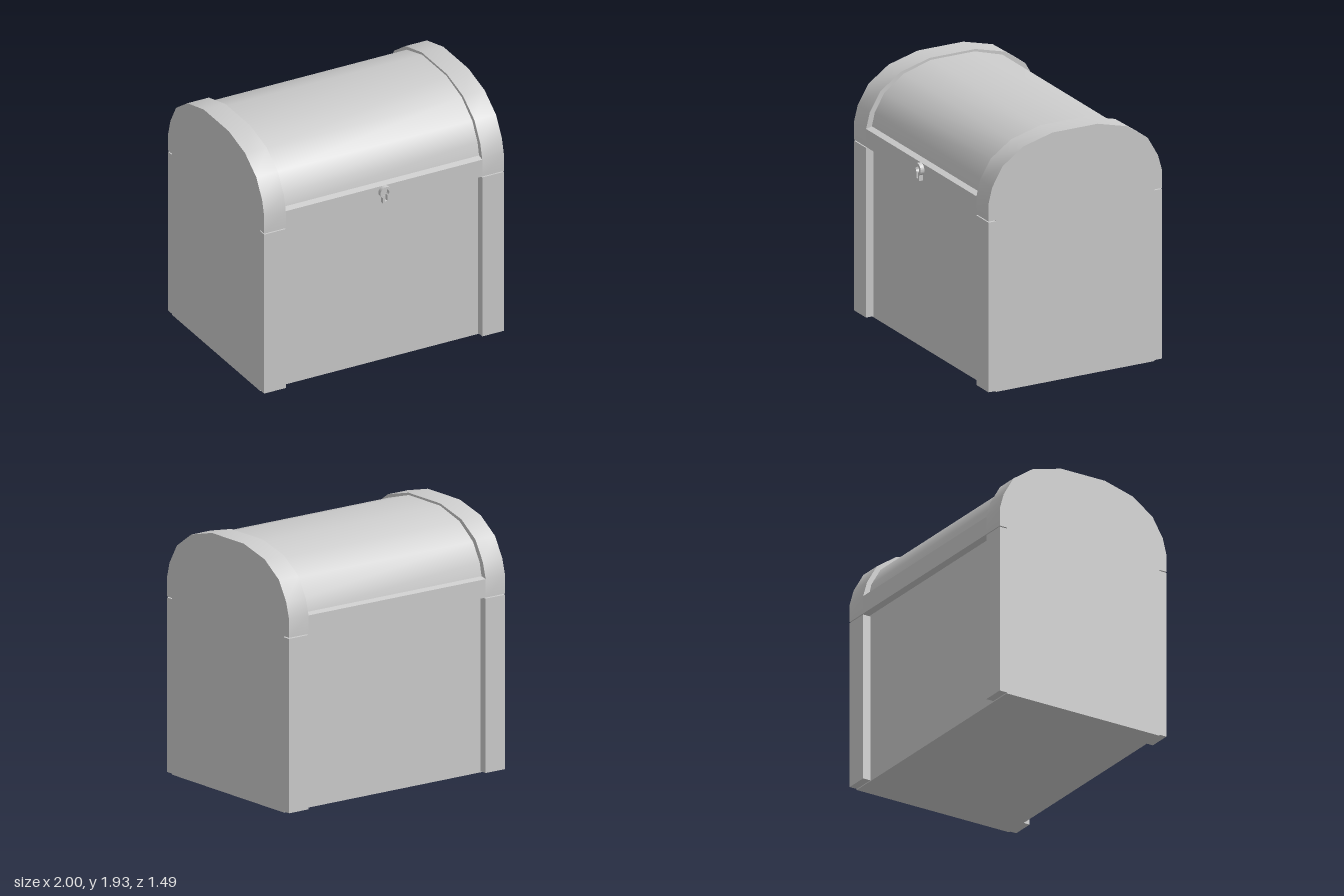
import * as THREE from 'three';
import { toCreasedNormals } from 'three/addons/utils/BufferGeometryUtils.js';

const material = new THREE.MeshStandardMaterial({ color: 0xcccccc });
const FRONT = 0.717, BACK = -0.74; // outer faces
const INSET = 0.062; // depth of the recessed panels
const LID_Y = 1.338;
const END_X = 0.82; // inner face of the end bands

function add(group, name, geometry) {
  const mesh = new THREE.Mesh(geometry, material);
  mesh.name = name;
  group.add(mesh);
  return mesh;
}

function box(group, name, x0, x1, y0, y1, z0, z1) {
  const geometry = new THREE.BoxGeometry(x1 - x0, y1 - y0, z1 - z0);
  add(group, name, geometry).position.set((x0 + x1) / 2, (y0 + y1) / 2, (z0 + z1) / 2);
}

// Extrude a [z, y] profile along x, smooth around the arch and sharp at its rims
function arch(group, name, profile, x0, x1) {
  const shape = new THREE.Shape(profile.map(([z, y]) => new THREE.Vector2(-z, y)));
  const geometry = new THREE.ExtrudeGeometry(shape, { depth: x1 - x0, bevelEnabled: false });
  geometry.rotateY(Math.PI / 2).translate(x0, 0, 0);
  add(group, name, toCreasedNormals(geometry, 0.7));
}

// Keyhole outline: a round head with a straight stem
function keyhole(path, radius, halfWidth, bottom) {
  const a = Math.asin(halfWidth / radius);
  path.moveTo(-halfWidth, bottom);
  path.lineTo(halfWidth, bottom);
  path.absarc(0, 0, radius, -Math.PI / 2 + a, Math.PI * 1.5 - a, false);
  path.closePath();
  return path;
}

export function createModel() {
  const chest = new THREE.Group();
  chest.name = 'chest';

  // Body core with recessed front and back panels
  box(chest, 'body', -1, 1, 0, LID_Y + 0.01, BACK + INSET, FRONT - INSET);

  // Corner posts, slightly clear of the floor and the lid
  for (const side of [-1, 1]) {
    const x0 = side < 0 ? -1 : END_X, x1 = side < 0 ? -END_X : 1;
    box(chest, 'frontPost', x0, x1, 0.008, LID_Y - 0.008, FRONT - INSET - 0.01, FRONT);
    box(chest, 'backPost', x0, x1, 0.008, LID_Y - 0.008, BACK, BACK + INSET + 0.01);
  }

  // Raised end bands of the lid
  const lid = new THREE.Group();
  lid.name = 'lid';
  chest.add(lid);
  const outer = [
    [FRONT, LID_Y], [FRONT, 1.478], [0.686, 1.6], [0.597, 1.75], [0.426, 1.87], [0.18, 1.935],
    [-0.2, 1.935], [-0.449, 1.87], [-0.62, 1.75], [-0.706, 1.6], [BACK, 1.478], [BACK, LID_Y],
  ];
  arch(lid, 'rightEndBand', outer, -1, -END_X);
  arch(lid, 'leftEndBand', outer, END_X, 1);

  // Sunken barrel with front and back rails
  const inner = [
    [FRONT, LID_Y], [FRONT, 1.478], [0.668, 1.49], [0.645, 1.59], [0.565, 1.73], [0.405, 1.85], [0.175, 1.918],
    [-0.195, 1.918], [-0.428, 1.85], [-0.588, 1.73], [-0.668, 1.59], [-0.691, 1.49], [BACK, 1.478], [BACK, LID_Y],
  ];
  arch(lid, 'barrel', inner, -END_X, END_X);

  // Keyhole plate
  const plate = keyhole(new THREE.Shape(), 0.047, 0.025, -0.085);
  plate.holes.push(keyhole(new THREE.Path(), 0.026, 0.011, -0.07));
  const lock = new THREE.ExtrudeGeometry(plate, { depth: 0.035, bevelEnabled: false, curveSegments: 20 });
  add(lid, 'keyholePlate', toCreasedNormals(lock, 0.6)).position.set(0, 1.432, FRONT - 0.003);

  return chest;
}
